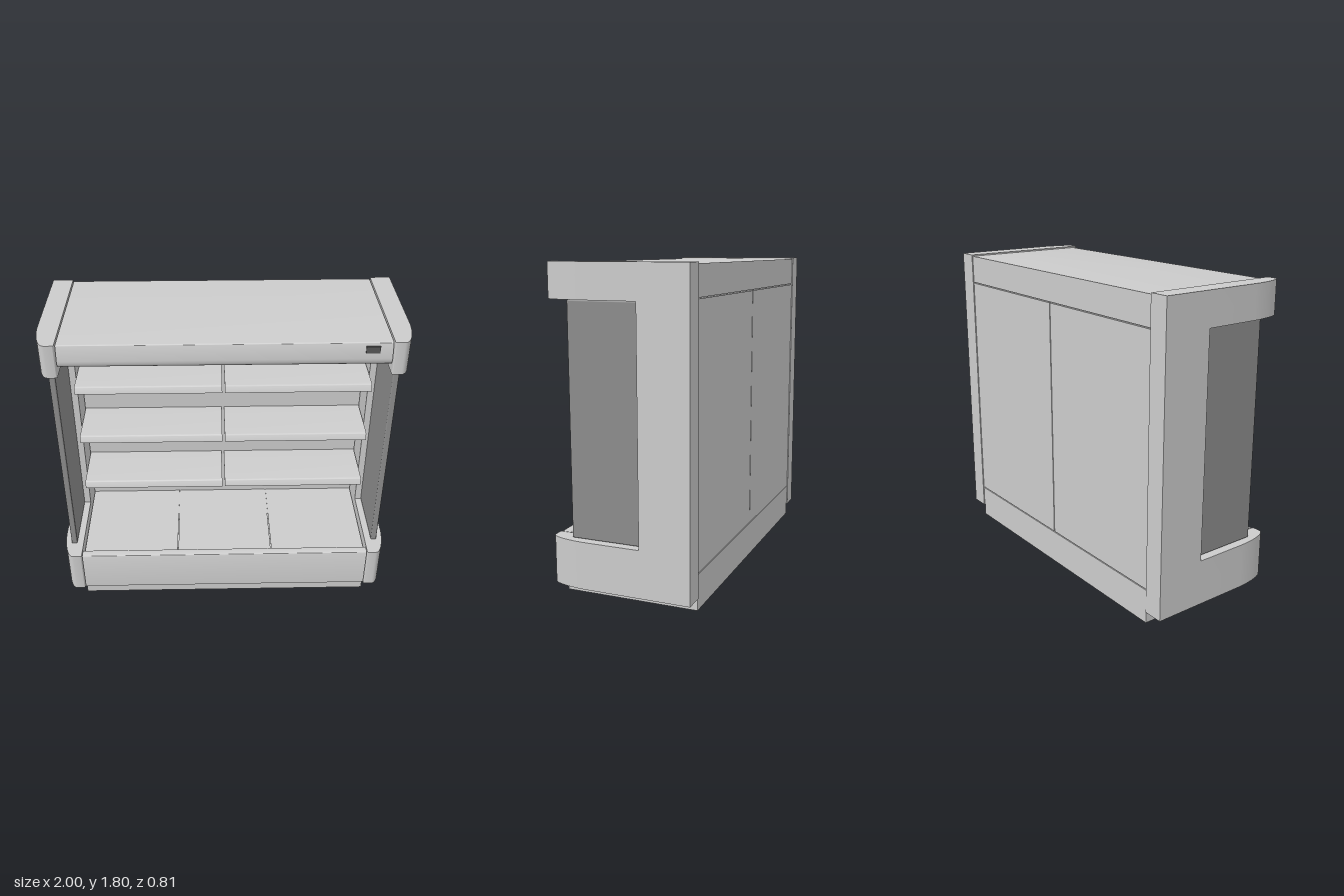
import * as THREE from 'three';
import { toCreasedNormals } from 'three/addons/utils/BufferGeometryUtils.js';
import { RoundedBoxGeometry } from 'three/addons/geometries/RoundedBoxGeometry.js';

const grey = new THREE.MeshStandardMaterial({ color: 0xcccccc });
const glass = new THREE.MeshStandardMaterial({ color: 0x8c8c8c });
const dark = new THREE.MeshStandardMaterial({ color: 0x555555 });

export function createModel() {
  const model = new THREE.Group();
  model.name = 'displayCase';

  const add = (name, geometry, material = grey) => {
    const mesh = new THREE.Mesh(geometry, material);
    mesh.name = name;
    model.add(mesh);
    return mesh;
  };
  // box given by its limits on each axis
  const box = (name, [x0, x1], [y0, y1], [z0, z1], material = grey, r = 0) => {
    const size = [Math.abs(x1 - x0), y1 - y0, z1 - z0];
    const g = r ? new RoundedBoxGeometry(...size, 2, r) : new THREE.BoxGeometry(...size);
    return add(name, g.translate((x0 + x1) / 2, (y0 + y1) / 2, (z0 + z1) / 2), material);
  };
  // (z, y) profile swept along x
  const sweepX = (name, shape, x0, x1, material = grey) => {
    const g = new THREE.ExtrudeGeometry(shape, { depth: x1 - x0, bevelEnabled: false, curveSegments: 8 });
    return add(name, toCreasedNormals(g.rotateY(-Math.PI / 2).translate(x1, 0, 0), 0.6), material);
  };

  // cabinet: base tub, back wall and canopy in one C-shaped section
  const c = new THREE.Shape();
  c.moveTo(-0.39, 0.08);
  c.lineTo(0.405, 0.08);
  c.lineTo(0.405, 0.322);
  c.quadraticCurveTo(0.405, 0.335, 0.392, 0.335);
  c.lineTo(0.362, 0.335);
  c.quadraticCurveTo(0.35, 0.335, 0.35, 0.322);
  c.lineTo(0.35, 0.275);
  c.lineTo(-0.305, 0.275);
  c.lineTo(-0.305, 1.66);
  c.lineTo(0.355, 1.66);
  c.quadraticCurveTo(0.4, 1.66, 0.4, 1.705);
  c.lineTo(0.388, 1.785);
  c.quadraticCurveTo(0.387, 1.795, 0.377, 1.795);
  c.lineTo(-0.39, 1.795);
  sweepX('cabinet', c, -0.88, 0.88);
  box('plinth', [-0.88, 0.88], [0, 0.08], [-0.4, 0.37]);

  // back cladding with narrow grooves between panels
  box('backTopBand', [-0.88, 0.88], [1.63, 1.795], [-0.402, -0.388]);
  box('backBottomBand', [-0.88, 0.88], [0.08, 0.2], [-0.402, -0.388]);
  for (const s of [-1, 1]) {
    box('backPanel', [s * 0.003, s * 0.88], [0.206, 1.624], [-0.402, -0.388]);
    box('innerBackPanel', [s * 0.003, s * 0.88], [0.28, 1.66], [-0.306, -0.3]);
  }

  // floor trays
  for (let i = -1; i <= 1; i++) {
    const x = i * 0.587;
    box('floorTray', [x - 0.291, x + 0.291], [0.27, 0.282], [-0.3, 0.348]);
  }

  // shelves with price rail and tapering brackets
  for (const top of [0.615, 0.965, 1.315]) {
    const rail = new THREE.Shape();
    rail.moveTo(-0.3, top);
    rail.lineTo(0.005, top);
    rail.quadraticCurveTo(0.016, top, 0.02, top - 0.012);
    rail.lineTo(0.03, top - 0.042);
    rail.lineTo(0.02, top - 0.046);
    rail.lineTo(0.004, top - 0.018);
    rail.lineTo(-0.3, top - 0.018);
    const arm = new THREE.Shape();
    arm.moveTo(-0.3, top - 0.018);
    arm.lineTo(0.0, top - 0.018);
    arm.lineTo(0.0, top - 0.045);
    arm.lineTo(-0.24, top - 0.08);
    arm.lineTo(-0.3, top - 0.08);
    for (const s of [-1, 1]) {
      const mid = s * 0.4425;
      sweepX('shelf', rail, mid - 0.4345, mid + 0.4345);
      for (const x of [0.044, 0.841]) sweepX('shelfBracket', arm, s * x - 0.006, s * x + 0.006, dark);
    }
  }

  // end panels: plan outline with rounded front corner, column and glass
  for (const s of [-1, 1]) {
    const plan = new THREE.Shape();
    plan.moveTo(s * 0.884, 0.12);
    plan.lineTo(s, 0.12);
    plan.lineTo(s, -0.2);
    plan.bezierCurveTo(s * 0.997, -0.29, s * 0.975, -0.408, s * 0.935, -0.408);
    plan.lineTo(s * 0.895, -0.408);
    plan.quadraticCurveTo(s * 0.884, -0.408, s * 0.884, -0.398);
    const block = (name, y0, y1) => {
      const g = new THREE.ExtrudeGeometry(plan, { depth: y1 - y0, bevelEnabled: false, curveSegments: 14 });
      add(name, toCreasedNormals(g.rotateX(-Math.PI / 2).translate(0, y0, 0), 0.6));
    };
    block('endPanelFoot', 0.07, 0.335);
    block('endPanelHead', 1.612, 1.803);
    box('endPanelColumn', [s * 0.884, s], [0.07, 1.803], [-0.406, -0.12]);
    box('sideGlass', [s * 0.922, s * 0.957], [0.337, 1.61], [-0.121, 0.292], glass, 0.008);
  }

  // small display on the canopy
  box('display', [0.737, 0.812], [1.735, 1.775], [0.38, 0.399], dark);

  return model;
}
